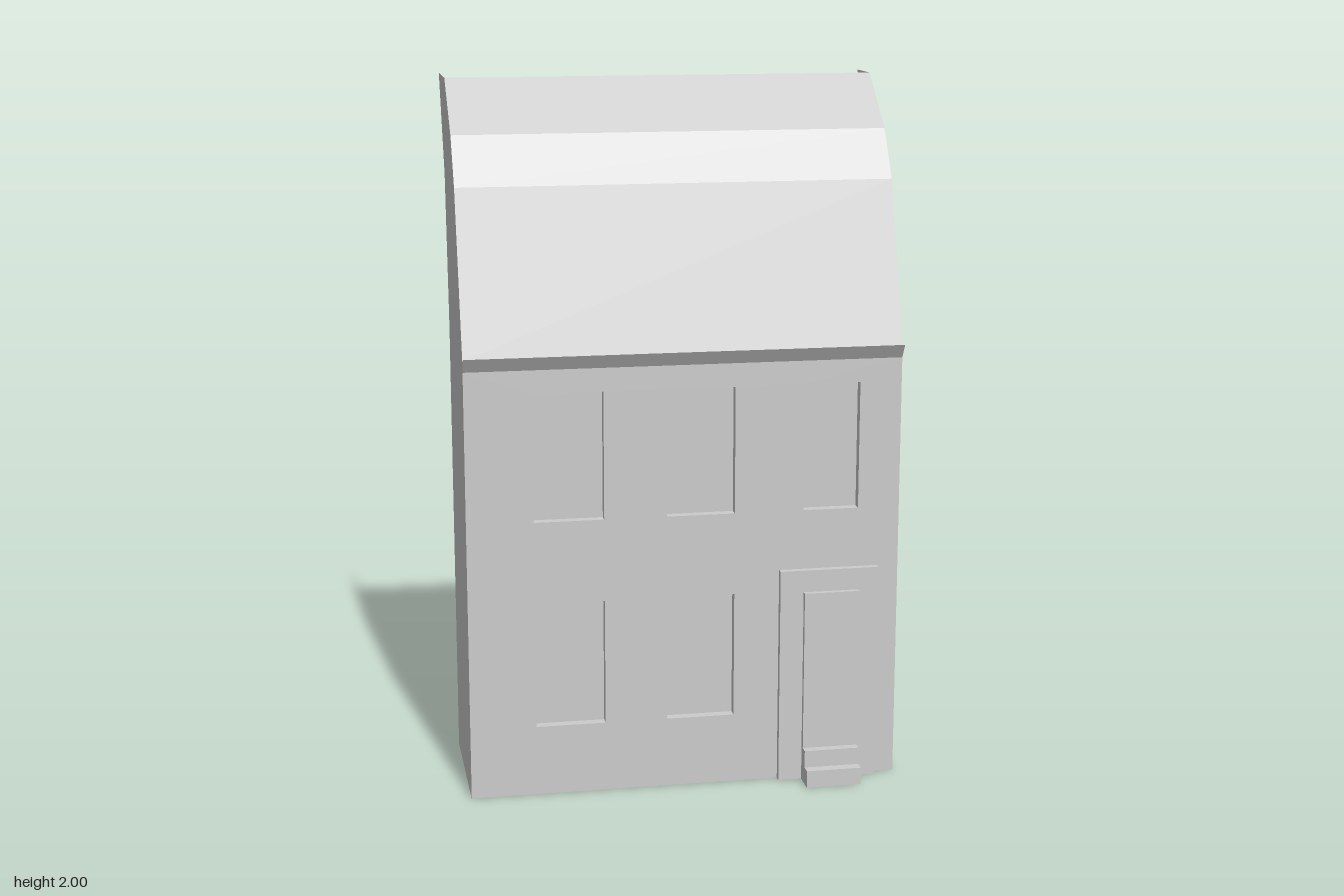
import * as THREE from 'three';

const material = new THREE.MeshStandardMaterial({ color: 0xcccccc, flatShading: true, side: THREE.DoubleSide });
const HALF = 0.618, WALL_Z = 0.265, SURROUND_Z = 0.285, DOOR_Z = 0.3, WINDOW_Z = 0.237;

function add(group, name, geometry) {
  const mesh = new THREE.Mesh(geometry, material);
  mesh.name = name;
  group.add(mesh);
}

// Flat shape from [x, y] points
function outline(points) {
  return new THREE.Shape(points.map(([x, y]) => new THREE.Vector2(x, y)));
}

// Sheet made of quads; each quad is four corners, counter-clockwise from its front
function quads(list) {
  const positions = [];
  for (const [a, b, c, d] of list) positions.push(...a, ...b, ...c, ...a, ...c, ...d);
  const geometry = new THREE.BufferGeometry();
  geometry.setAttribute('position', new THREE.Float32BufferAttribute(positions, 3));
  geometry.computeVertexNormals();
  return geometry;
}

// Sweep an upward [z, y] profile from x0 to x1
function strip(profile, x0, x1) {
  return quads(profile.slice(1).map(([z, y], i) => {
    const [pz, py] = profile[i];
    return [[x0, py, pz], [x1, py, pz], [x1, y, z], [x0, y, z]];
  }));
}

// Join an [x, y] path at depth z0 to the same path at depth z1
function reveal(path, z0, z1) {
  return quads(path.slice(1).map(([x, y], i) => {
    const [px, py] = path[i];
    return [[px, py, z0], [x, y, z0], [x, y, z1], [px, py, z1]];
  }));
}

// Upright sheet at x from a [z, y] outline, facing +x or -x
function sidePanel(profile, x, side) {
  return new THREE.ShapeGeometry(outline(profile.map(([z, y]) => [-side * z, y])))
    .rotateY(side * Math.PI / 2).translate(x, 0, 0);
}

const rect = (x0, y0, x1, y1) => [[x0, y0], [x1, y0], [x1, y1], [x0, y1]];
// Doorway path: up one side, across and down the other
const arch = (x0, x1, top) => [[x1, 0], [x1, top], [x0, top], [x0, 0]];

export function createModel() {
  const house = new THREE.Group();
  house.name = 'houseFront';

  const surround = arch(0.27, 0.557, 0.63);
  const doorway = arch(0.338, 0.498, 0.566);

  // Front wall with window holes and a notch for the door surround
  const wall = outline([[-HALF, 0], ...[...surround].reverse(), [HALF, 0], [HALF, 1.235], [-HALF, 1.235]]);
  const columns = [[-0.43, -0.232], [-0.054, 0.14], [0.338, 0.498]];
  const rows = [[0.203, 0.566], [0.803, 1.168]];
  columns.forEach(([x0, x1], i) => rows.forEach(([y0, y1], j) => {
    if (i === 2 && j === 0) return; // the door stands here
    const corners = rect(x0, y0, x1, y1);
    wall.holes.push(outline(corners));
    const windowGroup = new THREE.Group();
    windowGroup.name = 'window';
    add(windowGroup, 'windowReveal', reveal([...corners, corners[0]], WALL_Z, WINDOW_Z));
    add(windowGroup, 'windowPane', new THREE.ShapeGeometry(outline(corners)).translate(0, 0, WINDOW_Z));
    house.add(windowGroup);
  }));
  add(house, 'frontWall', new THREE.ShapeGeometry(wall).translate(0, 0, WALL_Z));

  // Raised door surround
  add(house, 'doorSurroundEdge', reveal(surround, SURROUND_Z, WALL_Z));
  add(house, 'doorSurround', new THREE.ShapeGeometry(outline([...surround, ...[...doorway].reverse()]))
    .translate(0, 0, SURROUND_Z));

  // Raised door running down into two steps
  const [x0, x1] = [doorway[2][0], doorway[0][0]];
  const doorProfile = [[0.355, 0], [0.355, 0.05], [0.325, 0.05], [0.325, 0.1], [DOOR_Z, 0.1],
    [DOOR_Z, 0.566], [SURROUND_Z, 0.566]];
  add(house, 'doorAndSteps', strip(doorProfile, x0, x1));
  for (const side of [1, -1]) {
    add(house, 'doorAndStepsSide', sidePanel([...doorProfile, [SURROUND_Z, 0]], side > 0 ? x1 : x0, side));
  }

  // Gutter ledge and bent roof slopes
  const gutter = [[WALL_Z, 1.235], [0.29, 1.275], [WALL_Z, 1.265]];
  const roof = [[WALL_Z, 1.265], [0.115, 1.72], [0.03, 1.855], [-0.145, 2]];
  add(house, 'gutter', strip(gutter, -HALF, HALF));
  add(house, 'roof', strip(roof, -HALF, HALF));

  // Side walls of unequal depth, open at the back
  const front = [[WALL_Z, 0], ...gutter, ...roof.slice(1)];
  const leftBack = [[-0.28, 2], [-0.14, 1.72], [-0.09, 1.28], [-0.09, 0]];
  const rightBack = [[-0.35, 2], [-0.215, 1.72], [-0.165, 1.28], [-0.165, 0]];
  add(house, 'leftWall', sidePanel([...front, ...leftBack], HALF, 1));
  add(house, 'rightWall', sidePanel([...front, ...rightBack], -HALF, -1));

  return house;
}
